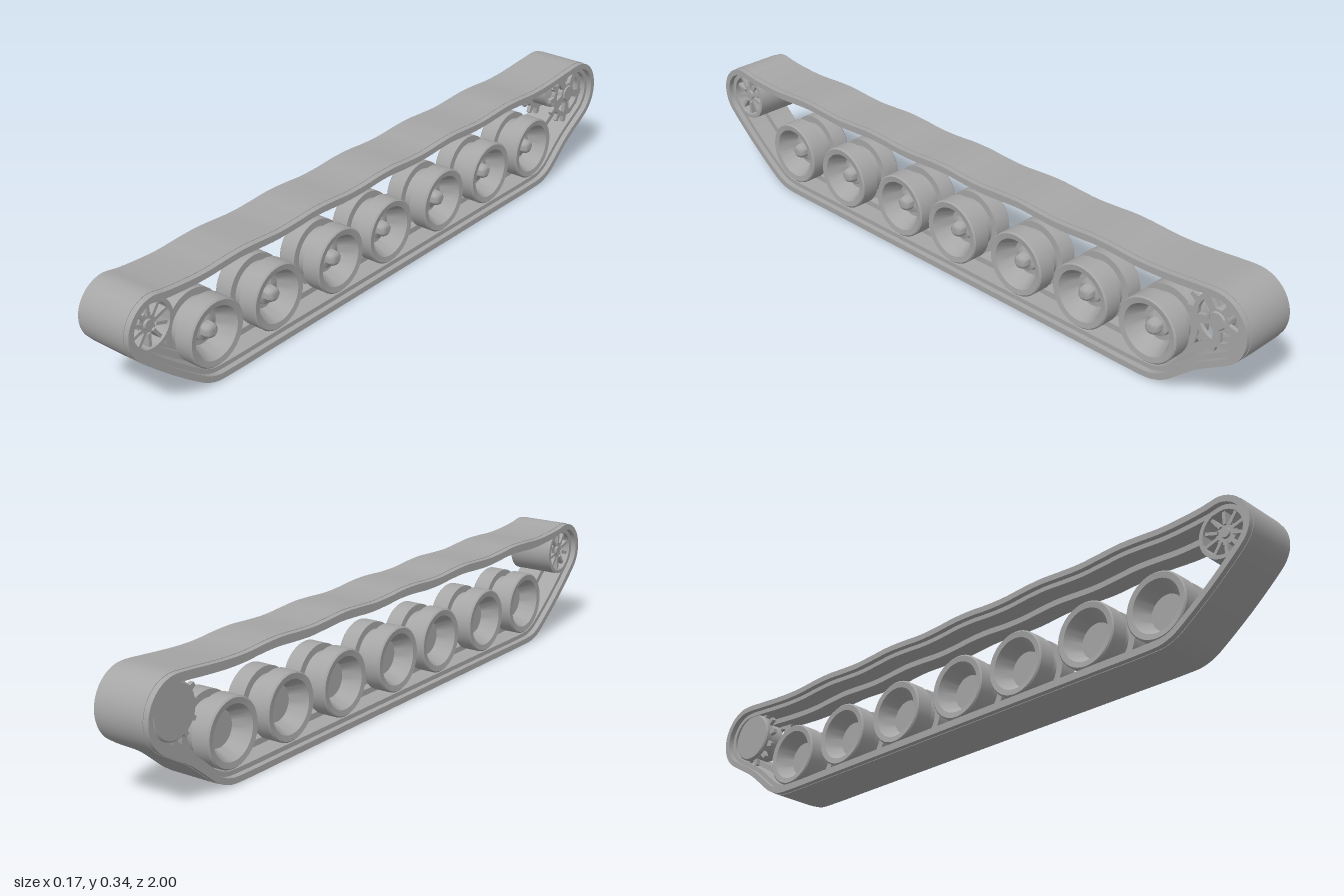
import * as THREE from 'three';
import { toCreasedNormals } from 'three/addons/utils/BufferGeometryUtils.js';

const steel = new THREE.MeshStandardMaterial({ color: 0xa6a6a6 });
steel.name = 'grey steel';

function add(parent, name, geometry, crease = 0.5) {
  const mesh = new THREE.Mesh(toCreasedNormals(geometry, crease), steel);
  mesh.name = name;
  parent.add(mesh);
  return mesh;
}

// Extrudes a (z, y) shape across the width from x = a to x = b
function across(shape, a, b, curveSegments = 24) {
  const g = new THREE.ExtrudeGeometry(shape, { depth: b - a, bevelEnabled: false, curveSegments });
  return g.rotateY(-Math.PI / 2).translate(b, 0, 0);
}

// Spins a profile of [radius, x] pairs about the x axis
function spin(profile, segments = 40) {
  const points = profile.map(([r, x]) => new THREE.Vector2(r, x));
  return new THREE.LatheGeometry(points, segments).rotateZ(-Math.PI / 2);
}

// Outer outline of the belt in (z, y), counter-clockwise from the bottom rear
function beltOutline() {
  const p = [];
  const put = (z, y) => p.push(new THREE.Vector3(z, y, 0));
  const arc = (cz, cy, r, from, to, n) => {
    for (let i = 0; i <= n; i++) {
      const t = THREE.MathUtils.degToRad(from + (to - from) * i / n);
      put(cz + r * Math.cos(t), cy + r * Math.sin(t));
    }
  };
  for (let i = 0; i <= 10; i++) put(-0.66 + 0.132 * i, 0.0035);
  arc(0.69, 0.1535, 0.15, -80, -54, 3);
  put(0.88, 0.108);
  arc(0.912, 0.253, 0.088, -48, 90, 10);
  put(0.87, 0.334);
  // sagging upper run, lifted a little at regular intervals
  for (let i = 0; i <= 24; i++) {
    const z = 0.8 - 1.58 * i / 24;
    put(z, 0.33 + 0.0035 * Math.cos((z - 0.61) * Math.PI * 2 / 0.285));
  }
  put(-0.84, 0.338);
  arc(-0.9, 0.242, 0.1, 90, 232, 10);
  put(-0.86, 0.1);
  arc(-0.69, 0.1535, 0.15, 236, 260, 3);
  return new THREE.CatmullRomCurve3(p, true, 'centripetal').getSpacedPoints(300).slice(0, -1);
}

// Moves the outline inwards by d
function inset(points, d) {
  const n = points.length;
  return points.map((p, i) => {
    const a = points[(i + n - 2) % n], b = points[(i + 2) % n];
    const t = new THREE.Vector2(b.x - a.x, b.y - a.y).normalize();
    return new THREE.Vector2(p.x - t.y * d, p.y + t.x * d);
  });
}

function band(outline, outer, inner, halfWidth) {
  const shape = new THREE.Shape(inset(outline, outer));
  shape.holes.push(new THREE.Path(inset(outline, inner)));
  return across(shape, -halfWidth, halfWidth);
}

function roadWheel(z) {
  const g = new THREE.Group();
  g.name = 'roadWheel';
  // twin tyres, centre groove and a dish on both sides
  add(g, 'wheelTyres', spin([
    [0, -0.02], [0.05, -0.02], [0.074, -0.068], [0.09, -0.07], [0.094, -0.066], [0.094, -0.016],
    [0.074, -0.016], [0.074, 0.016], [0.094, 0.016], [0.094, 0.066], [0.09, 0.07],
    [0.074, 0.068], [0.05, 0.015], [0, 0.015]]));
  add(g, 'wheelHub', spin([
    [0.036, 0.014], [0.034, 0.026], [0.022, 0.03], [0.021, 0.046], [0.016, 0.054], [0.008, 0.058], [0, 0.059]], 28), 0.7);
  g.position.set(0, 0.128, z);
  return g;
}

function idlerWheel() {
  const g = new THREE.Group();
  g.name = 'idlerWheel';
  add(g, 'idlerRim', spin([
    [0.061, -0.07], [0.072, -0.07], [0.072, 0.07], [0.061, 0.07], [0.061, -0.07]]));
  add(g, 'idlerWeb', spin([[0, -0.02], [0.062, -0.02], [0.062, 0.02], [0, 0.02]]));
  add(g, 'idlerHub', spin([
    [0, -0.062], [0.012, -0.062], [0.014, -0.056], [0.03, -0.056], [0.03, 0.056],
    [0.014, 0.056], [0.012, 0.062], [0, 0.062]], 28));
  for (let i = 0; i < 10; i++) {
    const spoke = new THREE.BoxGeometry(0.124, 0.04, 0.009).translate(0, 0.044, 0);
    add(g, 'idlerSpoke', spoke).rotation.x = i * Math.PI / 5;
  }
  g.position.set(0, 0.252, 0.912);
  return g;
}

// Toothed ring outline, with five rounded openings if wanted
function gearShape(teeth, open) {
  const shape = new THREE.Shape();
  const steps = [[-0.5, 0.074], [-0.26, 0.074], [-0.13, 0.094], [0.13, 0.094], [0.26, 0.074]];
  for (let i = 0; i < teeth; i++) {
    for (const [k, r] of steps) {
      const t = (i + k) * Math.PI * 2 / teeth;
      const x = r * Math.cos(t), y = r * Math.sin(t);
      if (i === 0 && k === -0.5) shape.moveTo(x, y);
      else shape.lineTo(x, y);
    }
  }
  for (let i = 0; open && i < 5; i++) {
    const t = (i + 0.25) * Math.PI * 2 / 5;
    const hole = new THREE.Path();
    hole.absarc(0, 0, 0.06, t - 0.42, t + 0.42, false);
    hole.absarc(0, 0, 0.032, t + 0.3, t - 0.3, true);
    shape.holes.push(hole);
  }
  return shape;
}

function driveSprocket() {
  const g = new THREE.Group();
  g.name = 'driveSprocket';
  add(g, 'outerToothedRing', across(gearShape(13, true), 0.044, 0.056, 10));
  add(g, 'innerToothedRing', across(gearShape(13, false), -0.056, -0.044, 10));
  add(g, 'sprocketBackPlate', spin([[0, -0.068], [0.07, -0.068], [0.074, -0.064], [0.074, -0.05], [0, -0.05]]));
  add(g, 'sprocketDrum', spin([[0.058, -0.05], [0.058, 0.01], [0.03, 0.02], [0.03, 0.05], [0.022, 0.06], [0, 0.06]], 32));
  g.position.set(0, 0.243, -0.892);
  return g;
}

export function createModel() {
  const model = new THREE.Group();
  model.name = 'trackAssembly';

  // Belt: wide shoes, narrower pads and the central guide ridge
  const belt = new THREE.Group();
  belt.name = 'trackBelt';
  const outline = beltOutline();
  add(belt, 'trackShoes', band(outline, 0, 0.017, 0.086));
  add(belt, 'trackPads', band(outline, -0.0015, 0.03, 0.07));
  add(belt, 'guideRidge', band(outline, 0.028, 0.047, 0.012));
  model.add(belt);

  for (const z of [0.698, 0.47, 0.225, 0.01, -0.235, -0.465, -0.69]) model.add(roadWheel(z));
  model.add(idlerWheel(), driveSprocket());
  return model;
}
